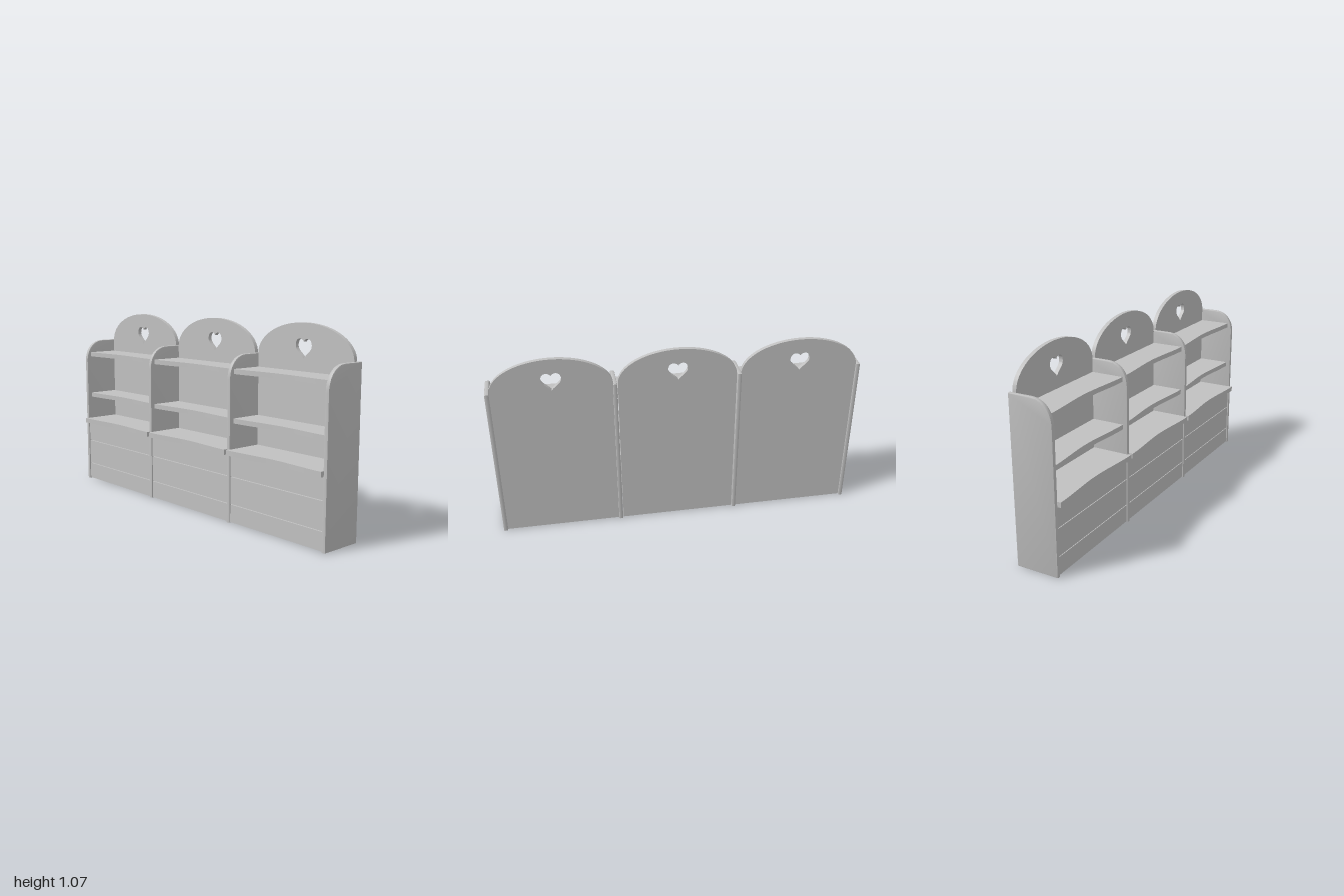
import * as THREE from 'three';
import { toCreasedNormals } from 'three/addons/utils/BufferGeometryUtils.js';

const BAY = 0.659;      // spacing between bay centres along z
const HALF = 0.318;     // half the inner width of a bay
const BACK_X = 0.108;   // middle of the back panels

export function createModel() {
  const group = new THREE.Group();
  group.name = 'tripleShelfUnit';
  const paint = new THREE.MeshStandardMaterial({ color: 0xc0c0c0 });
  paint.name = 'lightGrey';

  function add(name, geometry, x = 0, y = 0, z = 0) {
    const mesh = new THREE.Mesh(geometry, paint);
    mesh.name = name;
    mesh.position.set(x, y, z);
    group.add(mesh);
  }
  const extrude = (shape, options) =>
    toCreasedNormals(new THREE.ExtrudeGeometry(shape, { bevelEnabled: false, ...options }), 0.5);

  // Upright: side board with one rounded upper front corner and softened edges
  const b = 0.004;
  const side = new THREE.Shape();
  side.moveTo(-0.11 + b, b);
  side.lineTo(0.128 - b, b);
  side.lineTo(0.128 - b, 0.893 - b);
  side.lineTo(0.01, 0.893 - b);
  side.bezierCurveTo(-0.06, 0.893 - b, -0.11 + b, 0.84, -0.11 + b, 0.765);
  side.closePath();
  const sideGeo = extrude(side, {
    depth: 0.014, curveSegments: 16, bevelEnabled: true,
    bevelThickness: b, bevelSize: b, bevelSegments: 2,
  });
  sideGeo.translate(0, 0, -0.007);
  for (const z of [-0.989, -0.333, 0.333, 0.989]) add('upright', sideGeo, 0, 0, z);

  // Half of an arched back panel, with half a heart cut from its inner edge
  const half = new THREE.Shape();
  half.moveTo(0, 0.004);
  half.lineTo(HALF, 0.004);
  half.lineTo(HALF, 0.89);
  half.absellipse(0, 0.89, HALF, 0.175, 0, Math.PI / 2, false);
  half.lineTo(0, 0.97);
  half.bezierCurveTo(0.012, 0.992, 0.053, 0.992, 0.053, 0.95);
  half.bezierCurveTo(0.053, 0.925, 0.02, 0.91, 0, 0.885);
  half.closePath();
  const halfGeo = extrude(half, { depth: 0.022, curveSegments: 20 });
  halfGeo.translate(0, 0, -0.011);
  const halfPlus = halfGeo.clone().rotateY(-Math.PI / 2);
  const halfMinus = halfGeo.clone().rotateY(Math.PI / 2);

  // Shelf board whose front edge swings inward at the middle
  function shelfGeo(endX, midX, thickness) {
    const points = [new THREE.Vector2(0.1, -HALF - 0.004), new THREE.Vector2(0.1, HALF + 0.004)];
    const n = 24;
    for (let i = 0; i <= n; i++) {
      const t = 1 - (2 * i) / n;
      const x = endX + (midX - endX) * (0.5 + 0.5 * Math.cos(Math.PI * t));
      points.push(new THREE.Vector2(x, t * (HALF + 0.004)));
    }
    return extrude(new THREE.Shape(points), { depth: thickness }).rotateX(Math.PI / 2);
  }
  const counter = shelfGeo(-0.13, -0.112, 0.028);
  const shelf = shelfGeo(-0.084, -0.065, 0.026);

  // Front planks, lower edge and upper edge
  const planks = [[0.004, 0.1], [0.104, 0.25], [0.254, 0.37]];

  for (const k of [-1, 0, 1]) {
    const z = k * BAY;
    add('backPanelHalf', halfPlus, BACK_X, 0, z);
    add('backPanelHalf', halfMinus, BACK_X, 0, z);
    add('counter', counter, 0, 0.397, z);
    add('middleShelf', shelf, 0, 0.56, z);
    add('topShelf', shelf, 0, 0.82, z);
    for (const [low, high] of planks) {
      add('frontPlank', new THREE.BoxGeometry(0.018, high - low, 2 * HALF + 0.008),
        -0.094, (low + high) / 2, z);
    }
  }
  return group;
}
